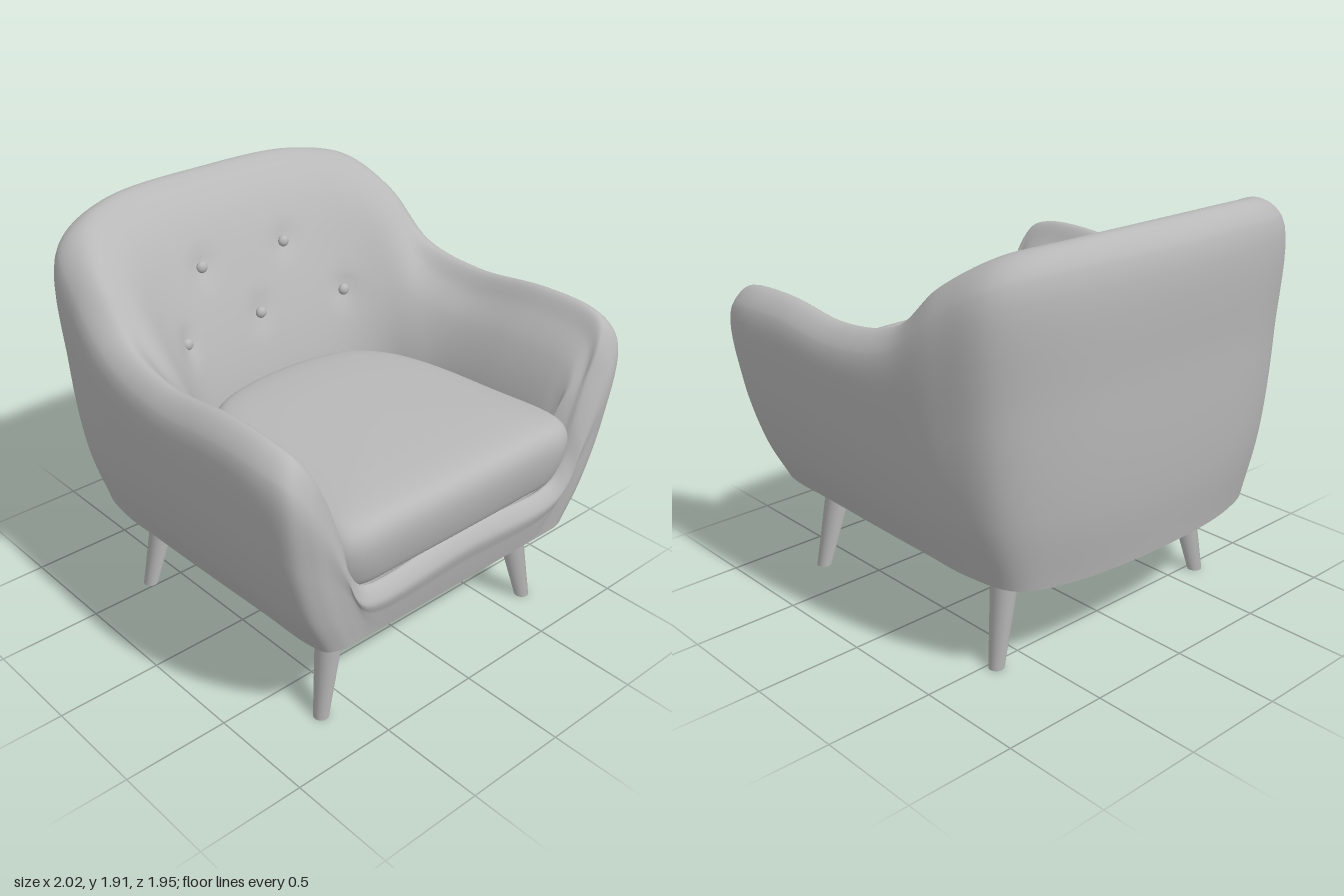
import * as THREE from 'three';
import { mergeVertices } from 'three/addons/utils/BufferGeometryUtils.js';

const V = (x, y, z) => new THREE.Vector3(x, y, z);
const { lerp } = THREE.MathUtils;

// Plan stations from the middle of the front rail, up and along the left arm, to the middle of the back:
// outer bottom x,z | outer belt x,z | crest x,y,z | inner edge x,z
const HALF = [
  [0, 0.9, 0, 0.95, 0, 0.765, 0.9, 0, 0.75],
  [0.39, 0.9, 0.55, 0.945, 0.56, 0.74, 0.9, 0.45, 0.76],
  [0.47, 0.9, 0.65, 0.952, 0.65, 0.84, 0.91, 0.56, 0.78],
  [0.54, 0.9, 0.72, 0.955, 0.7, 1.02, 0.91, 0.63, 0.8],
  [0.6, 0.9, 0.8, 0.955, 0.765, 1.2, 0.91, 0.665, 0.82],
  [0.67, 0.895, 0.895, 0.945, 0.835, 1.35, 0.905, 0.68, 0.82],
  [0.735, 0.865, 0.965, 0.9, 0.885, 1.44, 0.865, 0.68, 0.8],
  [0.76, 0.77, 0.995, 0.78, 0.905, 1.475, 0.77, 0.67, 0.74],
  [0.765, 0.5, 0.995, 0.5, 0.905, 1.485, 0.5, 0.66, 0.5],
  [0.775, 0.1, 0.985, 0.1, 0.9, 1.45, 0.1, 0.645, 0.15],
  [0.78, -0.25, 0.965, -0.25, 0.88, 1.51, -0.22, 0.61, 0],
  [0.78, -0.5, 0.94, -0.52, 0.86, 1.705, -0.45, 0.55, -0.15],
  [0.72, -0.73, 0.855, -0.76, 0.755, 1.85, -0.68, 0.44, -0.26],
  [0.5, -0.83, 0.58, -0.905, 0.52, 1.9, -0.82, 0.26, -0.325],
  [0, -0.875, 0, -0.955, 0, 1.912, -0.855, 0, -0.335],
];

const BUTTONS = [[-0.245, 1.57], [0.24, 1.57], [-0.465, 1.31], [0, 1.31], [0.47, 1.31]];

// Skin a grid of points with smooth normals
function skin(rows, flip) {
  const n = rows[0].length, pos = [], idx = [];
  rows.forEach((r) => r.forEach((p) => pos.push(p.x, p.y, p.z)));
  for (let j = 0; j < rows.length - 1; j++) {
    for (let i = 0; i < n - 1; i++) {
      const a = j * n + i, b = a + 1, d = a + n, c = d + 1;
      idx.push(...(flip ? [a, c, b, a, d, c] : [a, b, c, a, c, d]));
    }
  }
  let g = new THREE.BufferGeometry();
  g.setAttribute('position', new THREE.Float32BufferAttribute(pos, 3));
  g.setIndex(idx);
  g = mergeVertices(g, 1e-5);
  g.computeVertexNormals();
  return g;
}

// Cross-section: up the bulging outside, over the crest, down the inside
function section([bx, bz, mx, mz, cx, cy, cz, ix, iz]) {
  const bulge = (y) => 1 - Math.max(0, 1 - (y - 0.47) / 0.93) ** 2.4;
  const top = cy - Math.min(0.09, 0.25 * (cy - 0.47));
  const low = Math.min(1.02, cy - 0.15);
  const out = (y) => {
    const t = bulge(y) / bulge(top);
    return V(lerp(bx, mx, t), y, lerp(bz, mz, t));
  };
  const inn = (t, y) => V(lerp(cx, ix, t), y, lerp(cz, iz, t));
  return [
    out(0.47), out(lerp(0.47, top, 0.24)), out(lerp(0.47, top, 0.6)), out(top), V(cx, cy, cz),
    inn(0.32, cy - Math.min(0.09, 0.3 * (cy - low))), inn(0.69, lerp(cy, low, 0.48)), inn(1, low), inn(1.1, 0.47),
  ];
}

// The upholstered shell is one closed sweep: rail, arm, back, arm
function shellRows() {
  const mirrored = HALF.slice(1, -1).reverse().map((s) => s.map((n, k) => ([0, 2, 4, 7].includes(k) ? -n : n)));
  const sections = [...HALF, ...mirrored].map(section);
  const rails = sections[0].map((_, k) => new THREE.CatmullRomCurve3(sections.map((s) => s[k]), true));
  const rows = [];
  for (let i = 0; i <= 224; i++) {
    rows.push(new THREE.CatmullRomCurve3(rails.map((r) => r.getPoint(i / 224))).getPoints(72));
  }
  return rows;
}

// Closed plan outline, scaled about a centre on the z axis
function ring(points, y, scale, cz, crown) {
  const pts = new THREE.CatmullRomCurve3(points.map(([x, z]) => V(x, 0, z)), true).getPoints(112);
  return pts.map((p) => {
    const x = p.x * scale;
    return V(x, y + crown * (1 - (x / 0.69) ** 2), cz + (p.z - cz) * scale);
  });
}

// Smooth a stack of rings along its height
function stack(rings, steps) {
  const cols = rings[0].map((_, i) => new THREE.CatmullRomCurve3(rings.map((r) => r[i])).getPoints(steps));
  return cols[0].map((_, j) => cols.map((c) => c[j]));
}

const mirrorLoop = (half) => [...half, ...half.slice(1, -1).reverse().map(([x, z]) => [-x, z])];

export function createModel() {
  const model = new THREE.Group();
  const grey = new THREE.MeshStandardMaterial({ color: 0xb8b8b8, side: THREE.DoubleSide });
  grey.name = 'grey';
  const add = (name, geometry) => {
    const mesh = new THREE.Mesh(geometry, grey);
    mesh.name = name;
    model.add(mesh);
    return mesh;
  };

  // Rail, arms and back, with a dimple under every button
  const rows = shellRows();
  const backrest = rows.flatMap((r) => r.slice(40, 64)).filter((p) => p.z < -0.2);
  const seats = BUTTONS.map(([x, y]) => {
    const d = (p) => (p.x - x) ** 2 + (p.y - y) ** 2;
    return V(x, y, backrest.reduce((best, p) => (d(p) < d(best) ? p : best)).z);
  });
  backrest.forEach((p) => seats.forEach((s) => {
    p.z -= 0.025 * Math.exp(-((p.x - s.x) ** 2 + (p.y - s.y) ** 2) / 0.003);
  }));
  add('armsAndBack', skin(rows, true));

  // Buttons
  seats.forEach((s) => {
    const button = add('button', new THREE.SphereGeometry(0.028, 20, 14));
    button.position.set(s.x, s.y, s.z - 0.012);
    button.scale.z = 0.8;
  });

  // Underside panel: scale, height
  const footprint = mirrorLoop(HALF.map((s) => [s[0], s[1]]));
  const panel = [[0, 0.464], [0.5, 0.464], [0.95, 0.464], [0.985, 0.466], [0.995, 0.472], [0.98, 0.49]]
    .map(([s, y]) => ring(footprint, y, s, 0, 0));
  add('underside', skin(stack(panel, 24)));

  // Seat cushion: scale, height
  const plan = mirrorLoop([
    [0, 0.972], [0.4, 0.96], [0.62, 0.937], [0.692, 0.875], [0.675, 0.5],
    [0.63, 0.1], [0.56, -0.1], [0.42, -0.25], [0.2, -0.31], [0, -0.32],
  ]);
  const cushion = [
    [0, 0.73], [0.82, 0.725], [0.92, 0.735], [0.97, 0.81], [1, 0.93], [0.985, 0.995],
    [0.94, 1.035], [0.85, 1.055], [0.6, 1.07], [0.3, 1.075], [0, 1.077],
  ].map(([s, y]) => ring(plan, y, s, 0.32, 0.03));
  add('seatCushion', skin(stack(cushion, 50)));

  // Splayed tapered legs, sheared so the feet stay flat
  for (const side of [1, -1]) {
    for (const [name, topZ, footZ] of [['frontLeg', 0.69, 0.74], ['backLeg', -0.49, -0.535]]) {
      const g = new THREE.CylinderGeometry(0.07, 0.035, 0.5, 32);
      g.translate(0, 0.25, 0);
      const p = g.attributes.position;
      for (let i = 0; i < p.count; i++) {
        const t = p.getY(i) / 0.5;
        p.setX(i, p.getX(i) + side * lerp(0.655, 0.55, t));
        p.setZ(i, p.getZ(i) + lerp(footZ, topZ, t));
      }
      add(name, g);
    }
  }
  return model;
}
